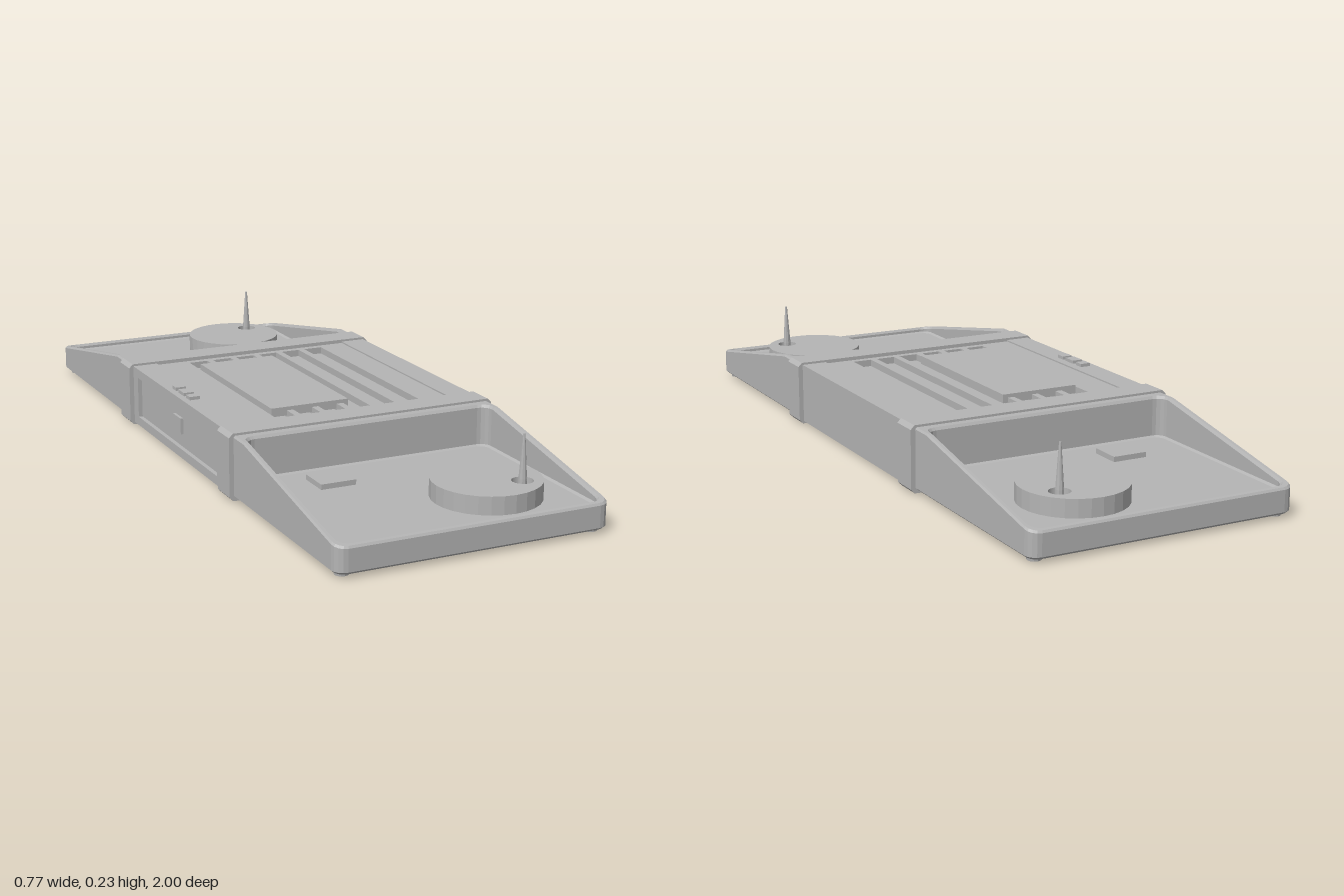
import * as THREE from 'three';

const grey = new THREE.MeshStandardMaterial({ color: 0xb4b4b4, flatShading: true });
grey.name = 'plain grey';

function add(parent, geometry, name, x = 0, y = 0, z = 0) {
  const mesh = new THREE.Mesh(geometry, grey);
  mesh.name = name;
  mesh.position.set(x, y, z);
  parent.add(mesh);
  return mesh;
}

// Box given by its minimum and maximum corners
function block(parent, name, [x0, y0, z0], [x1, y1, z1]) {
  return add(parent, new THREE.BoxGeometry(x1 - x0, y1 - y0, z1 - z0), name,
    (x0 + x1) / 2, (y0 + y1) / 2, (z0 + z1) / 2);
}

function rectPath(x0, y0, x1, y1, PathClass = THREE.Path) {
  return new PathClass([[x0, y0], [x1, y0], [x1, y1], [x0, y1]].map(p => new THREE.Vector2(...p)));
}

const extrude = (shape, depth) =>
  new THREE.ExtrudeGeometry(shape, { depth, bevelEnabled: false, curveSegments: 14 });

// Height of the tray rim: flat by the strap, then sloping to the lip
const rimHeight = z => z < 0.47 ? 0.178 : THREE.MathUtils.mapLinear(z, 0.47, 1, 0.178, 0.08);

// One rounded rectangular ring of the tray, with extra points at the slope start
function ring(inset, back, r, height) {
  const hx = 0.372 - inset, front = 1 - inset, pts = [];
  const corner = (cx, cz, start) => {
    for (let i = 0; i <= 4; i++) {
      const a = start + i * Math.PI / 8;
      pts.push([cx + r * Math.cos(a), cz + r * Math.sin(a)]);
    }
  };
  corner(hx - r, front - r, 0);
  corner(-hx + r, front - r, Math.PI / 2);
  pts.push([-hx, 0.47]);
  corner(-hx + r, back + r, Math.PI);
  corner(hx - r, back + r, Math.PI * 1.5);
  pts.push([hx, 0.47]);
  return pts.map(([x, z]) => [x, height(z), z]);
}

// Tray shell lofted from the underside, over the rim, down to the floor
function trayGeometry() {
  const rings = [
    ring(0.008, 0.36, 0.025, () => 0.01),
    ring(0, 0.36, 0.03, () => 0.017),
    ring(0, 0.36, 0.03, z => rimHeight(z) - 0.005),
    ring(0.004, 0.36, 0.028, rimHeight),
    ring(0.013, 0.43, 0.03, rimHeight),
    ring(0.018, 0.435, 0.028, z => rimHeight(z) - 0.007),
    ring(0.018, 0.435, 0.028, () => 0.069),
    ring(0.026, 0.443, 0.022, () => 0.065),
  ];
  const n = rings[0].length, pos = [];
  const tri = (a, b, c) => pos.push(...a, ...b, ...c);
  for (let k = 0; k < rings.length - 1; k++) {
    for (let i = 0; i < n; i++) {
      const j = (i + 1) % n, a = rings[k], b = rings[k + 1];
      tri(a[i], b[i], b[j]);
      tri(a[i], b[j], a[j]);
    }
  }
  const last = rings[rings.length - 1];
  for (let i = 0; i < n; i++) {
    const j = (i + 1) % n;
    tri([0, 0.01, 0.68], rings[0][i], rings[0][j]);
    tri([0, 0.065, 0.7], last[j], last[i]);
  }
  const g = new THREE.BufferGeometry();
  g.setAttribute('position', new THREE.Float32BufferAttribute(pos, 3));
  g.computeVertexNormals();
  return g;
}

// Strap cross-section with chamfered corners
function strapGeometry() {
  const x = 0.385, y0 = 0.003, y1 = 0.184, c = 0.011;
  const s = new THREE.Shape([[-x + c, y0], [x - c, y0], [x, y0 + c], [x, y1 - c],
    [x - c, y1], [-x + c, y1], [-x, y1 - c], [-x, y0 + c]].map(p => new THREE.Vector2(...p)));
  return extrude(s, 0.078);
}

// Turntable disc with an off-centre hole
function discGeometry(side) {
  const s = new THREE.Shape().absarc(0, 0, 0.142, 0, Math.PI * 2);
  s.holes.push(new THREE.Path().absarc(0.07, -0.055 * side, 0.028, 0, Math.PI * 2, true));
  return extrude(s, 0.048).rotateX(-Math.PI / 2);
}

function addMiddle(model) {
  const middle = new THREE.Group();
  middle.name = 'middleBody';
  model.add(middle);
  block(middle, 'core', [-0.36, 0.01, -0.35], [0.372, 0.155, 0.35]);

  // Deck plate with six long slots
  const deck = rectPath(-0.3, -0.35, 0.3, 0.35, THREE.Shape);
  for (let i = 0; i < 6; i++) {
    const x = -0.205 + i * 0.074;
    deck.holes.push(rectPath(x, -0.31, x + 0.055, 0.31));
  }
  add(middle, extrude(deck, 0.02).rotateX(-Math.PI / 2), 'slottedDeck', 0, 0.154, 0);
  block(middle, 'leftEdgeStrip', [0.3, 0.15, -0.35], [0.372, 0.178, 0.35]);
  block(middle, 'rightEdgeStrip', [-0.361, 0.15, -0.35], [-0.3, 0.178, 0.35]);
  block(middle, 'topPanel', [-0.195, 0.16, -0.25], [0.032, 0.184, 0.248]);

  // Buttons on the right edge
  for (const [z, h] of [[-0.052, 0.014], [0, 0.021], [0.05, 0.014]])
    block(middle, 'button', [-0.354, 0.17, z - h], [-0.324, 0.187, z + h]);

  // Framed side panel with a small square latch
  const frame = rectPath(-0.35, 0.01, 0.35, 0.178, THREE.Shape);
  frame.holes.push(rectPath(-0.295, 0.035, 0.295, 0.152));
  add(middle, extrude(frame, 0.012).rotateY(-Math.PI / 2), 'sideFrame', -0.36, 0, 0);
  block(middle, 'sideLatch', [-0.368, 0.073, -0.028], [-0.355, 0.118, 0.028]);
}

function addEnd(model, side) {
  const end = new THREE.Group();
  end.name = side > 0 ? 'frontEnd' : 'backEnd';
  model.add(end);
  const tray = add(end, trayGeometry(), 'tray');
  const strap = add(end, strapGeometry(), 'strap', 0, 0, side > 0 ? 0.33 : -0.408);
  if (side < 0) tray.rotation.y = Math.PI;

  // Turntable with its pin
  add(end, discGeometry(side), 'turntable', 0.14, 0.065, 0.797 * side);
  const pin = [[0, 0.066], [0.011, 0.066], [0.011, 0.118], [0.007, 0.175], [0.003, 0.234], [0, 0.235]];
  add(end, new THREE.LatheGeometry(pin.map(p => new THREE.Vector2(...p)), 10), 'pin', 0.21, 0, 0.852 * side);

  // Square pad on the tray floor
  block(end, 'pad', [-0.21, 0.06, 0.54 * side - 0.044], [-0.112, 0.079, 0.54 * side + 0.044]);

  // Feet
  for (const x of [-0.34, 0.34])
    add(end, new THREE.CylinderGeometry(0.02, 0.018, 0.014, 12), 'foot', x, 0.007, 0.96 * side);
}

export function createModel() {
  const model = new THREE.Group();
  model.name = 'doubleTrayDeck';
  addMiddle(model);
  for (const side of [1, -1]) addEnd(model, side);
  return model;
}
